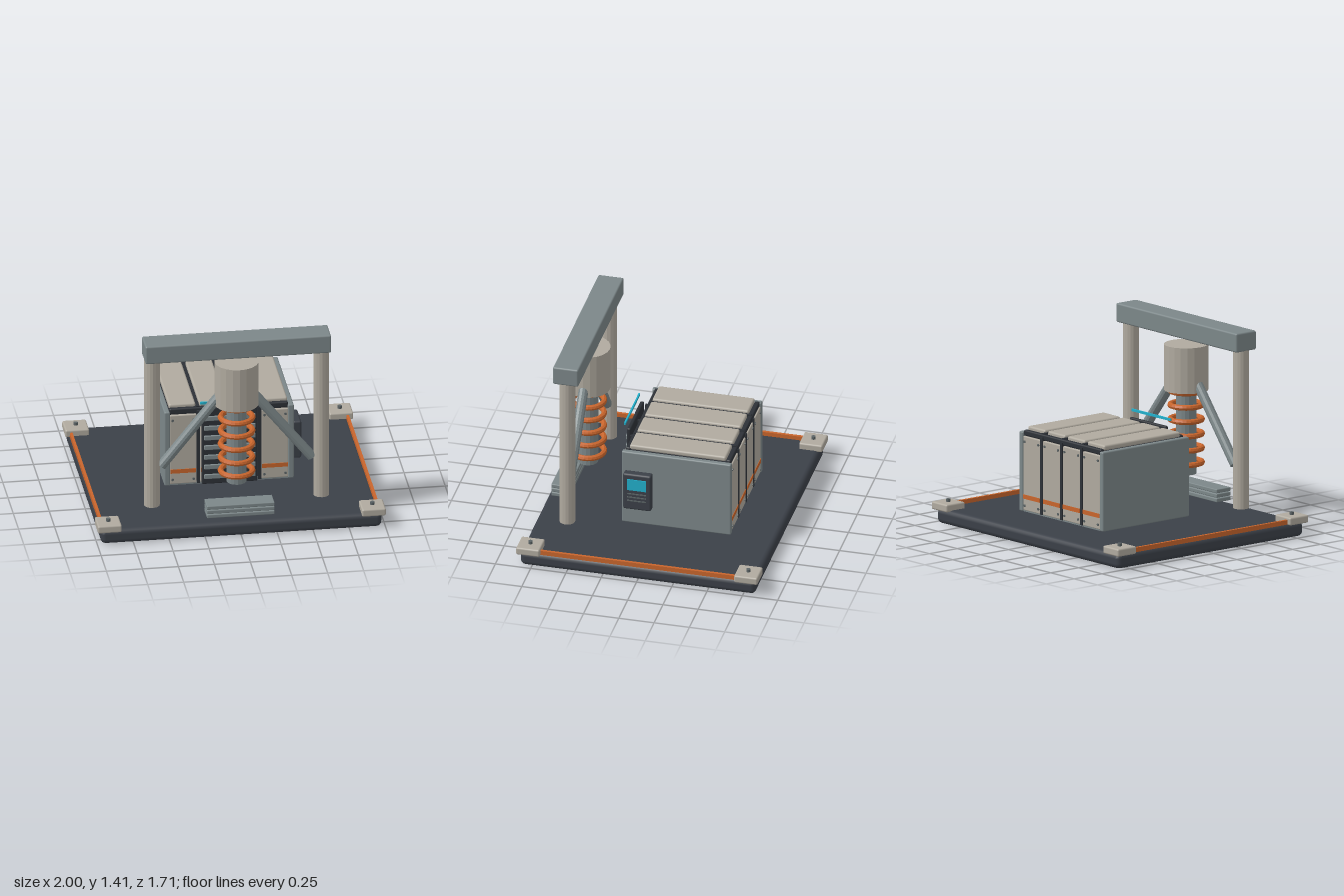
import * as THREE from 'three';
import { RoundedBoxGeometry } from 'three/addons/geometries/RoundedBoxGeometry.js';

export function createModel() {
  const root = new THREE.Group();
  root.name = 'pressMachine';

  const mat = (name, color) => {
    const m = new THREE.MeshStandardMaterial({ color });
    m.name = name;
    return m;
  };
  const charcoal = mat('charcoal', 0x3b4048);
  const black = mat('darkFrame', 0x2d3137);
  const beige = mat('warmGrey', 0xb0aa9f);
  const steel = mat('steel', 0x7c8789);
  const boltGrey = mat('boltGrey', 0x5c6466);
  const orange = mat('orange', 0xc8652c);
  const cyan = mat('cyan', 0x22b0cc);

  const add = (name, geo, material, x, y, z, parent = root) => {
    const m = new THREE.Mesh(geo, material);
    m.name = name;
    m.position.set(x, y, z);
    parent.add(m);
    return m;
  };
  // Box given by its limits; r rounds the edges
  const box = (name, material, x0, x1, y0, y1, z0, z1, r = 0, parent = root) => {
    const s = [x1 - x0, y1 - y0, z1 - z0];
    const geo = r ? new RoundedBoxGeometry(...s, 2, r) : new THREE.BoxGeometry(...s);
    return add(name, geo, material, (x0 + x1) / 2, (y0 + y1) / 2, (z0 + z1) / 2, parent);
  };
  const faceted = (geo) => {
    const g = geo.toNonIndexed();
    g.computeVertexNormals();
    return g;
  };
  const rod = (name, material, r, a, b, sides, parent = root) => {
    const from = new THREE.Vector3(...a), to = new THREE.Vector3(...b);
    const dir = to.clone().sub(from);
    const mid = from.clone().add(to).multiplyScalar(0.5);
    const geo = faceted(new THREE.CylinderGeometry(r, r, dir.length(), sides));
    const m = add(name, geo, material, mid.x, mid.y, mid.z, parent);
    m.quaternion.setFromUnitVectors(new THREE.Vector3(0, 1, 0), dir.normalize());
    return m;
  };
  const group = (name) => {
    const g = new THREE.Group();
    g.name = name;
    root.add(g);
    return g;
  };

  // Base plate with corner blocks and side strips
  const base = group('base');
  box('basePlate', charcoal, -0.975, 0.975, 0, 0.105, -0.833, 0.833, 0.035, base);
  for (const sx of [-1, 1]) {
    box('sideStrip', orange, sx * 0.96 - 0.01, sx * 0.96 + 0.01, 0.1, 0.132, -0.7, 0.7, 0, base);
    for (const sz of [-1, 1]) {
      const x = sx * 0.917, z = sz * 0.772;
      box('cornerBlock', beige, x - 0.083, x + 0.083, 0.095, 0.15, z - 0.083, z + 0.083, 0.012, base);
      rod('cornerBolt', boltGrey, 0.015, [x, 0.145, z], [x, 0.17, z], 12, base);
    }
  }

  // Gantry: posts, beam and braces
  const gantry = group('gantry');
  const gz = 0.593;
  box('beam', steel, -0.645, 0.645, 1.278, 1.412, gz - 0.09, gz + 0.09, 0.012, gantry);
  for (const s of [-1, 1]) {
    rod('post', beige, 0.055, [s * 0.588, 0.167, gz], [s * 0.588, 1.285, gz], 16, gantry);
    rod('brace', steel, 0.035, [s * 0.12, 0.965, gz], [s * 0.522, 0.46, gz], 12, gantry);
  }

  // Press head: drum, shaft and coil rings
  const head = group('pressHead');
  rod('drum', beige, 0.154, [0, 0.9, gz], [0, 1.222, gz], 20, head);
  rod('shaft', steel, 0.07, [0, 0.31, gz], [0, 0.92, gz], 16, head);
  for (let i = 0; i < 6; i++) {
    const geo = faceted(new THREE.TorusGeometry(0.11, 0.02, 8, 28));
    geo.rotateX(Math.PI / 2);
    add('coilRing', geo, orange, 0, 0.39 + i * 0.101, gz, head);
  }

  // Stacked plates at the front
  for (let i = 0; i < 3; i++) {
    const y = 0.132 + i * 0.032;
    box('stackedPlate', steel, -0.235, 0.235, y, y + 0.028, 0.67, 0.797, 0.006);
  }

  // Cabinet: core and side walls
  const cab = group('cabinet');
  box('core', black, -0.415, 0.415, 0.15, 0.69, -0.505, 0.22, 0, cab);
  box('floorPlate', steel, -0.415, 0.415, 0.132, 0.155, -0.52, 0.235, 0, cab);
  for (const s of [-1, 1]) {
    box('sideWall', steel, s * 0.43 - 0.02, s * 0.43 + 0.02, 0.132, 0.692, -0.53, 0.245, 0.01, cab);
  }
  for (const z of [-0.502, 0.207]) {
    box('edgeBar', black, -0.412, 0.412, 0.665, 0.705, z - 0.017, z + 0.017, 0.01, cab);
  }
  for (const x of [-0.2125, 0, 0.2125]) {
    box('dividerTop', black, x - 0.011, x + 0.011, 0.68, 0.712, -0.51, 0.215, 0, cab);
    box('dividerFront', black, x - 0.011, x + 0.011, 0.14, 0.685, 0.21, 0.243, 0, cab);
    box('dividerBack', black, x - 0.011, x + 0.011, 0.14, 0.685, -0.528, -0.5, 0, cab);
  }

  // Four panel columns on the roof, front and back
  for (let i = 0; i < 4; i++) {
    const x = -0.319 + i * 0.2125, w = 0.093;
    box('roofPanel', beige, x - w, x + w, 0.69, 0.728, -0.485, 0.197, 0.014, cab);
    for (const [s, z] of [[1, 0.228], [-1, -0.513]]) {
      box('wallPanel', beige, x - w, x + w, 0.142, 0.662, z - 0.012, z + 0.012, 0.006, cab);
      const zf = z + s * 0.012;
      box('panelStripe', orange, x - w + 0.004, x + w - 0.004, 0.223, 0.253, zf - 0.004, zf + 0.004, 0, cab);
      for (const dx of [-0.073, 0.073]) for (const y of [0.175, 0.625]) {
        rod('panelBolt', boltGrey, 0.009, [x + dx, y, zf - s * 0.004], [x + dx, y, zf + s * 0.006], 10, cab);
      }
    }
  }

  // Front grille and light bar
  const grille = group('grille');
  box('grilleFrame', black, -0.193, 0.193, 0.14, 0.722, 0.245, 0.272, 0.01, grille);
  for (let i = 0; i < 7; i++) {
    const y = 0.2 + i * 0.0735;
    box('louvre', steel, -0.178, 0.178, y - 0.017, y + 0.017, 0.265, 0.284, 0.005, grille);
  }
  box('lightBar', cyan, -0.207, 0.207, 0.757, 0.774, 0.277, 0.288);

  // Control unit on the left wall
  const control = group('controlUnit');
  box('controlCase', charcoal, 0.445, 0.506, 0.27, 0.55, 0.022, 0.222, 0.014, control);
  box('screen', cyan, 0.504, 0.512, 0.427, 0.512, 0.057, 0.19, 0, control);
  for (const y of [0.343, 0.37, 0.397]) {
    box('controlLine', boltGrey, 0.504, 0.51, y - 0.004, y + 0.004, 0.057, 0.19, 0, control);
  }

  return root;
}
